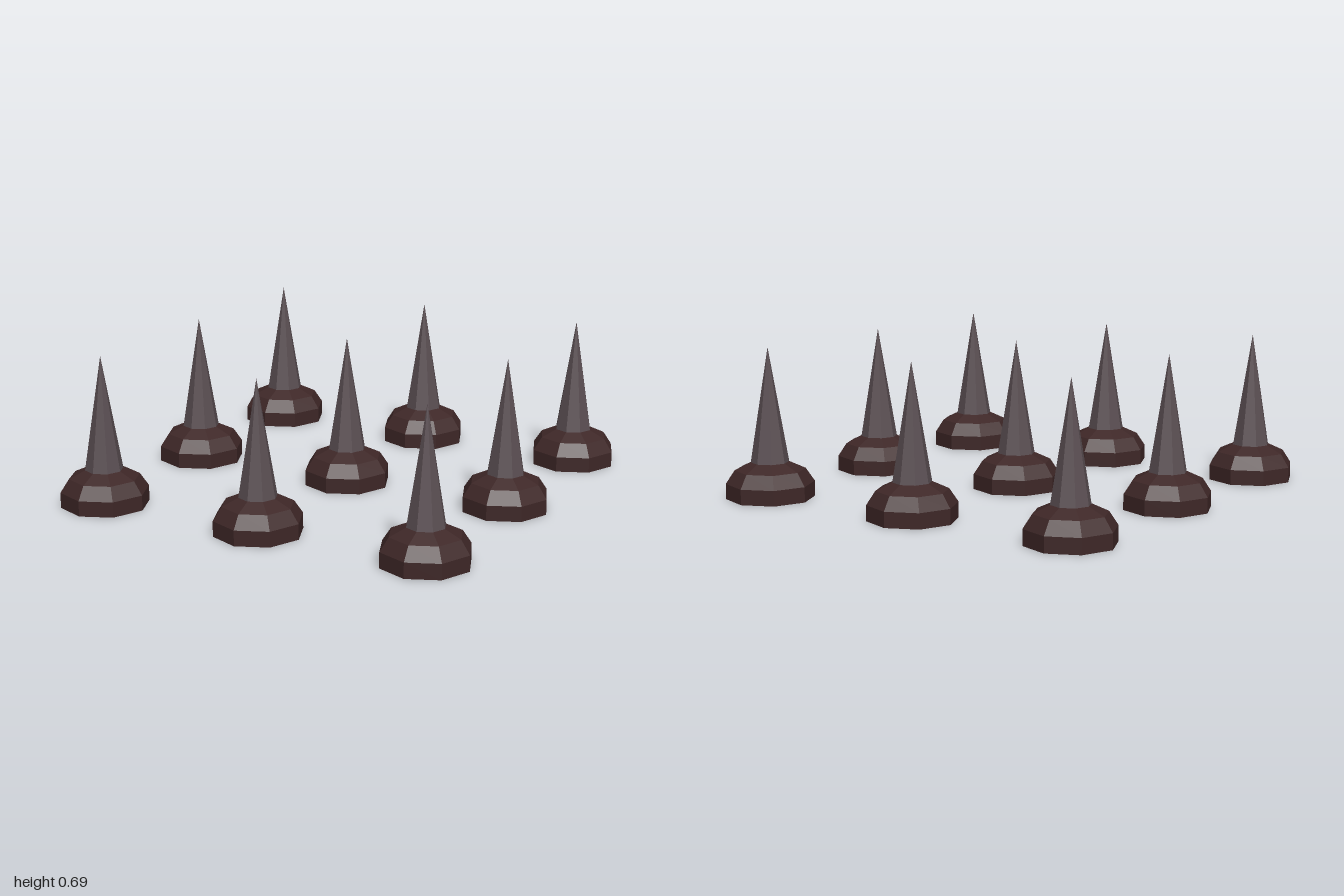
import * as THREE from 'three';

export function createModel() {
  const model = new THREE.Group();
  model.name = 'spikeField';

  const baseMaterial = new THREE.MeshStandardMaterial({ color: 0x3e2727, flatShading: true });
  baseMaterial.name = 'dark brown';
  const spikeMaterial = new THREE.MeshStandardMaterial({ color: 0x5a4e52, flatShading: true });
  spikeMaterial.name = 'grey metal';

  // Octagonal mound with a closed underside, profile from bottom to top
  const profile = [[0, 0], [0.2, 0], [0.2, 0.07], [0.16, 0.13], [0.085, 0.165], [0, 0.17]]
    .map(([r, y]) => new THREE.Vector2(r, y));
  const baseGeometry = new THREE.LatheGeometry(profile, 8);

  // Sharp spike, sunk slightly into the mound
  const bottom = 0.13, tip = 0.685;
  const spikeGeometry = new THREE.ConeGeometry(0.092, tip - bottom, 8);
  spikeGeometry.translate(0, (tip + bottom) / 2, 0);

  // Three by three grid of spikes
  for (const x of [-0.8, 0, 0.8]) {
    for (const z of [-0.8, 0, 0.8]) {
      const unit = new THREE.Group();
      unit.name = 'spikeUnit';
      const base = new THREE.Mesh(baseGeometry, baseMaterial);
      base.name = 'base';
      const spike = new THREE.Mesh(spikeGeometry, spikeMaterial);
      spike.name = 'spike';
      unit.add(base, spike);
      unit.position.set(x, 0, z);
      model.add(unit);
    }
  }
  return model;
}
